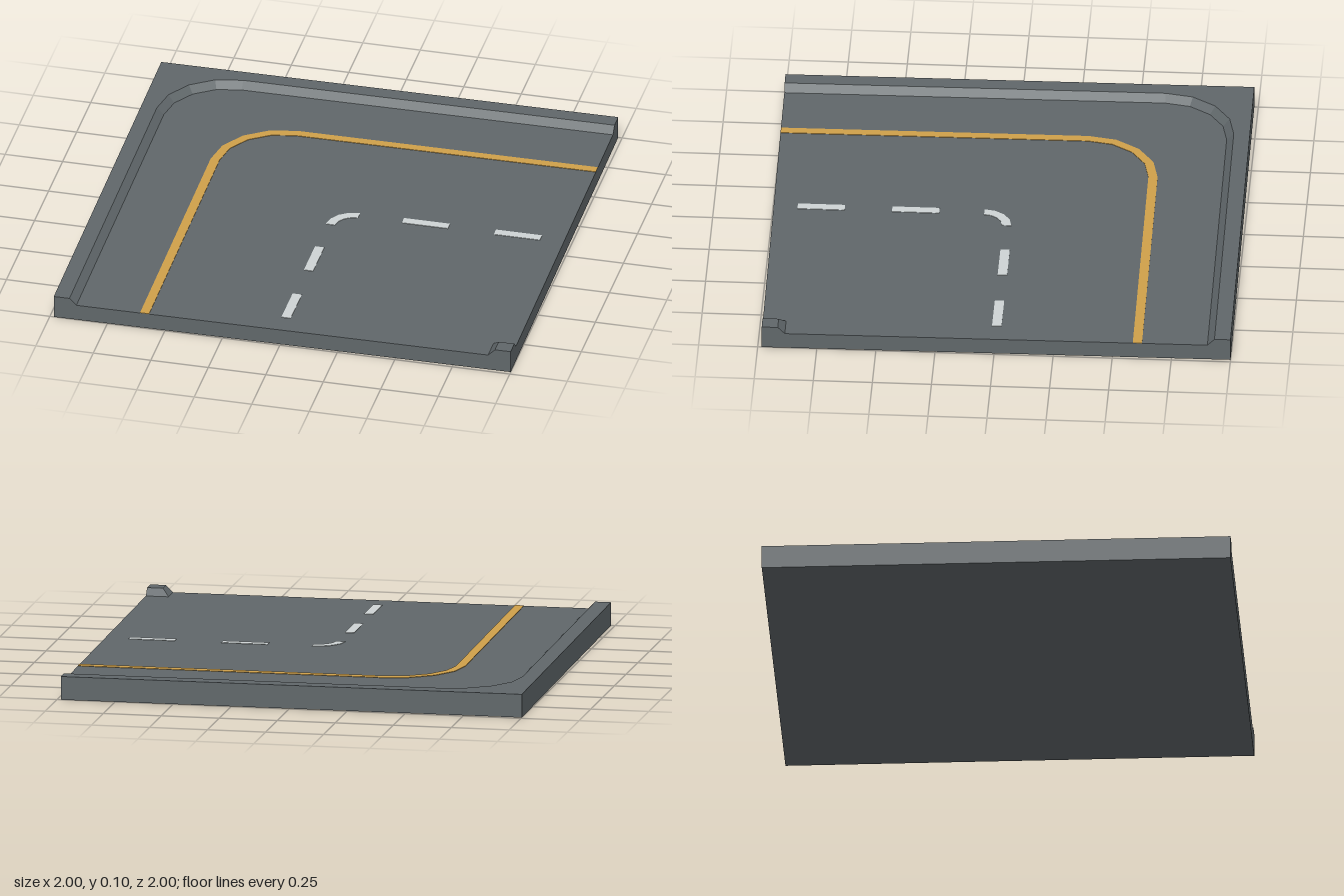
import * as THREE from 'three';

const H = 0.9915;      // half side of the tile
const ROAD = 0.07;     // road surface height
const TOP = 0.1;       // kerb height
const EDGE = 0.9235;   // upper edge of the kerb slope
const FOOT = 0.8935;   // lower edge of the kerb slope

const asphalt = new THREE.MeshStandardMaterial({ color: 0x60676a });
asphalt.name = 'asphalt grey';
const yellow = new THREE.MeshStandardMaterial({ color: 0xcfa04a });
yellow.name = 'line yellow';
const white = new THREE.MeshStandardMaterial({ color: 0xced4d5 });
white.name = 'dash white';

function addMesh(parent, name, geometry, material) {
  const mesh = new THREE.Mesh(geometry, material);
  mesh.name = name;
  parent.add(mesh);
  return mesh;
}

// Points [x, z] of a quarter bend from the left leg round to the back leg
function bend(centre, radius, segments = 4) {
  return Array.from({ length: segments + 1 }, (_, i) => {
    const a = (i / segments) * Math.PI / 2;
    return [centre - radius * Math.cos(a), centre - radius * Math.sin(a)];
  });
}

// Kerb skinned over matching outer, upper-edge and foot paths
function kerbGeometry(outer, edge, foot) {
  const rings = outer.map((o, i) => [
    [o[0], ROAD, o[1]], [o[0], TOP, o[1]],
    [edge[i][0], TOP, edge[i][1]], [foot[i][0], ROAD, foot[i][1]],
  ]);
  const pos = [];
  const quad = (a, b, c, d) => pos.push(...a, ...b, ...c, ...a, ...c, ...d);
  for (let i = 0; i < rings.length - 1; i++) {
    const p = rings[i], q = rings[i + 1];
    for (let k = 0; k < 3; k++) quad(p[k], p[k + 1], q[k + 1], q[k]);
  }
  const s = rings[0], e = rings[rings.length - 1];
  quad(s[0], s[3], s[2], s[1]);
  quad(e[0], e[1], e[2], e[3]);
  const g = new THREE.BufferGeometry();
  g.setAttribute('position', new THREE.Float32BufferAttribute(pos, 3));
  g.computeVertexNormals();
  return g;
}

// Thin painted plate between two paths
function paintGeometry(outer, inner) {
  const outline = [...outer, ...inner.slice().reverse()];
  const shape = new THREE.Shape(outline.map(([x, z]) => new THREE.Vector2(x, -z)));
  const g = new THREE.ExtrudeGeometry(shape, { depth: 0.002, bevelEnabled: false });
  return g.rotateX(-Math.PI / 2).translate(0, ROAD, 0);
}

export function createModel() {
  const model = new THREE.Group();
  model.name = 'roadCorner';

  // The tile sits turned very slightly
  const tile = new THREE.Group();
  tile.name = 'tile';
  tile.rotation.y = 0.0085;
  model.add(tile);

  addMesh(tile, 'roadSlab',
    new THREE.BoxGeometry(2 * H, ROAD, 2 * H).translate(0, ROAD / 2, 0), asphalt);

  // Long kerb round the left and back sides
  const c = -0.62;
  const withEnds = (pts, d) => [[-d, H], ...pts, [H, -d]];
  const rim = bend(c, 1).map(([x, z]) => {
    const s = (H + c) / Math.max(c - x, c - z);
    return [c + (x - c) * s, c + (z - c) * s];
  });
  addMesh(tile, 'outerKerb', kerbGeometry(
    withEnds(rim, H),
    withEnds(bend(c, EDGE + c), EDGE),
    withEnds(bend(c, FOOT + c), FOOT)), asphalt);

  // Small square kerb at the inside corner
  const corner = (d) => [[H, d], [d, d], [d, H]];
  addMesh(tile, 'innerKerb',
    kerbGeometry(corner(H).map(() => [H, H]), corner(EDGE), corner(FOOT)), asphalt);

  // Continuous yellow line
  const yc = -0.31;
  addMesh(tile, 'yellowLine', paintGeometry(
    withEnds(bend(yc, 0.617 + yc), 0.617),
    withEnds(bend(yc, 0.578 + yc), 0.578)), yellow);

  // White centre dashes on both legs and round the bend
  for (const d of [0.39, 0.79]) {
    addMesh(model, 'frontDash',
      new THREE.BoxGeometry(0.04, 0.002, 0.2).translate(0, ROAD + 0.001, d), white);
    addMesh(model, 'sideDash',
      new THREE.BoxGeometry(0.2, 0.002, 0.04).translate(d, ROAD + 0.001, -0.005), white);
  }
  addMesh(model, 'bendDash', paintGeometry(bend(0.1, 0.12), bend(0.1, 0.08)), white);

  return model;
}
